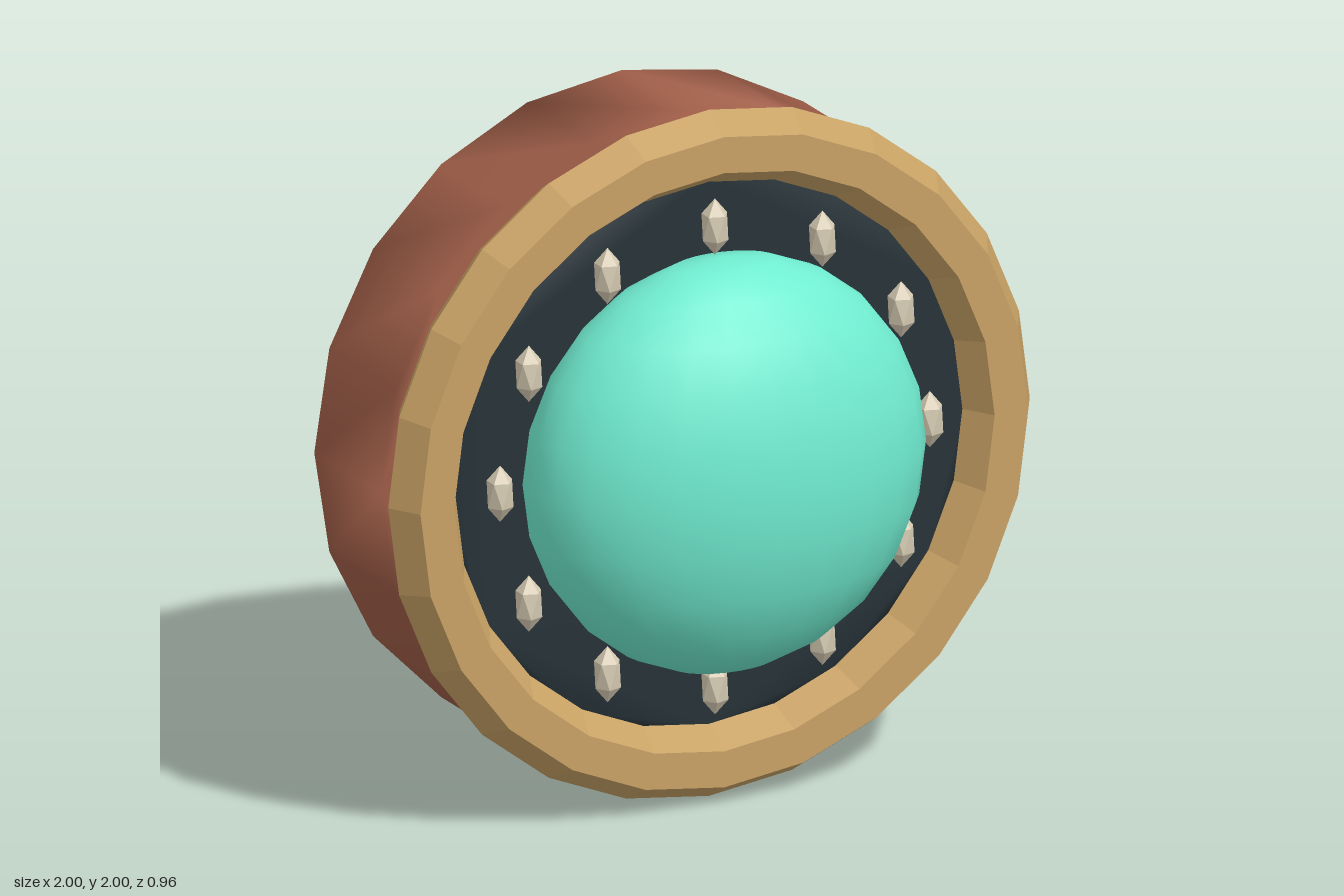
import * as THREE from 'three';
import { mergeVertices } from 'three/addons/utils/BufferGeometryUtils.js';
import { ConvexGeometry } from 'three/addons/geometries/ConvexGeometry.js';

const mat = (color, flatShading = false) => new THREE.MeshStandardMaterial({ color, flatShading });

// Points of a regular polygon
const polygon = (n, r) => Array.from({ length: n }, (_, i) => {
  const a = (i / n) * Math.PI * 2;
  return new THREE.Vector2(r * Math.cos(a), r * Math.sin(a));
});

// Solid disc from z0 to z1 with normals blended across the rim
function softDisc(sides, radius, z0, z1) {
  const geo = new THREE.ExtrudeGeometry(new THREE.Shape(polygon(sides, radius)), { depth: z1 - z0, bevelEnabled: false });
  geo.translate(0, 0, z0);
  geo.deleteAttribute('normal');
  geo.deleteAttribute('uv');
  const merged = mergeVertices(geo, 1e-4);
  merged.computeVertexNormals();
  return merged;
}

// Elongated twenty-sided crystal, pointed at top and bottom
function crystalGeometry(rx, ry, rz) {
  const points = [new THREE.Vector3(0, ry, 0), new THREE.Vector3(0, -ry, 0)];
  for (const p of polygon(5, 0.8944)) {
    points.push(new THREE.Vector3(p.x * rx, 0.4472 * ry, p.y * rz));
    points.push(new THREE.Vector3(-p.x * rx, -0.4472 * ry, p.y * rz));
  }
  return new ConvexGeometry(points);
}

export function createModel() {
  const group = new THREE.Group();
  const add = (name, geometry, material, x = 0, y = 1, z = 0) => {
    const mesh = new THREE.Mesh(geometry, material);
    mesh.name = name;
    mesh.position.set(x, y, z);
    group.add(mesh);
    return mesh;
  };

  // Thick round back and the dark plate inside the rim
  add('backBody', softDisc(20, 0.96, -0.48, -0.09), mat(0xa05e48));
  add('darkPlate', softDisc(24, 0.8, -0.04, 0.02), mat(0x263238));

  // Faceted rim with a hexagonal section
  add('rim', new THREE.TorusGeometry(0.895, 0.105, 6, 24), mat(0xc8a265, true), 0, 1, 0.03);

  // Flattened dome in the middle
  const dome = add('dome', new THREE.SphereGeometry(0.6, 24, 12), mat(0x70ecd0), 0, 1, 0.12);
  dome.scale.z = 0.6;

  // Twelve upright crystals around the dome
  const crystal = crystalGeometry(0.042, 0.082, 0.042);
  const crystalMat = mat(0xd8cdb4, true);
  polygon(12, 0.67).forEach((p, i) => add(`crystal${i + 1}`, crystal, crystalMat, p.x, 1 + p.y, 0.065));

  return group;
}
